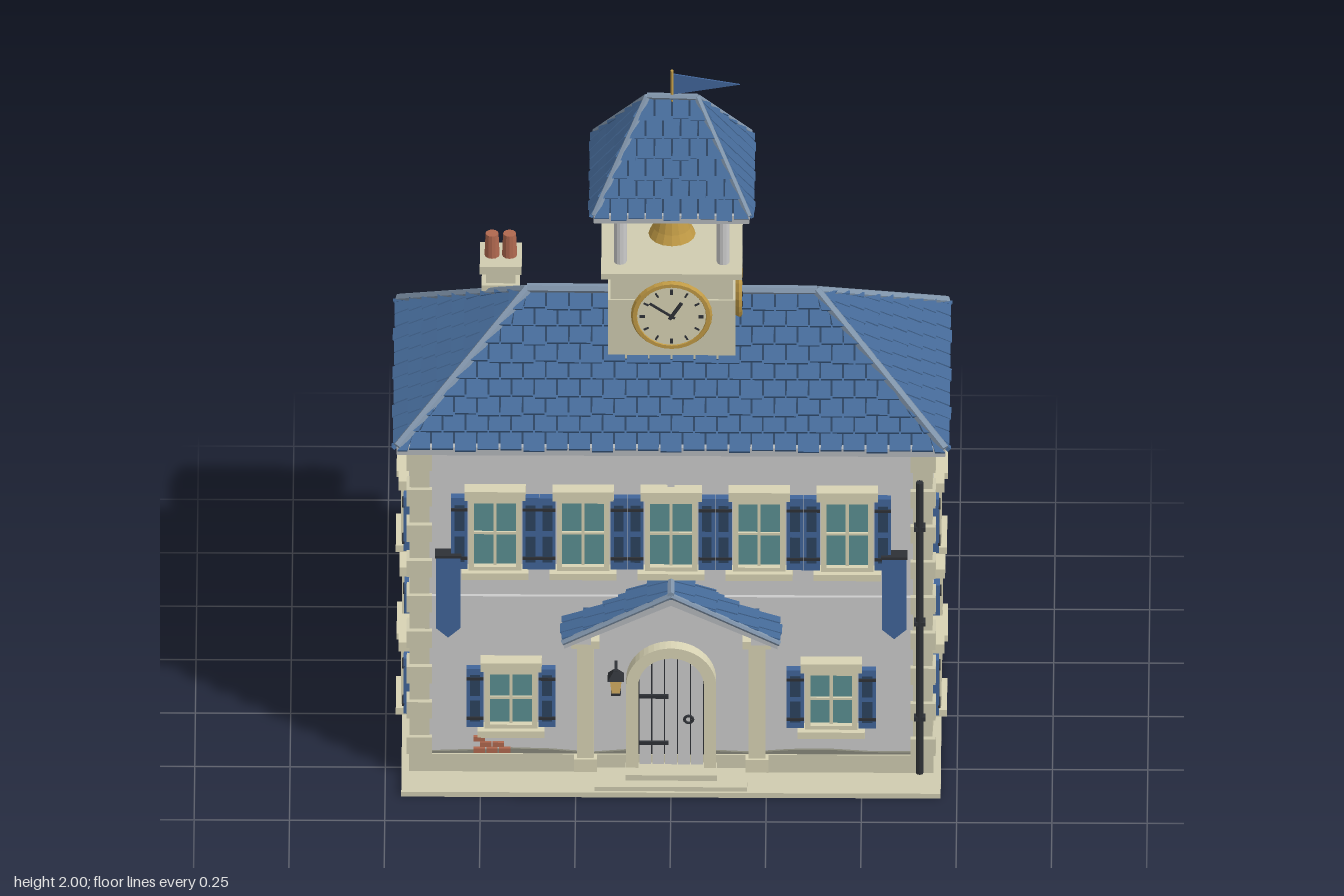
import * as THREE from 'three';
import { mergeGeometries } from 'three/addons/utils/BufferGeometryUtils.js';

const mat = (color, side = THREE.FrontSide) => new THREE.MeshStandardMaterial({ color, side, flatShading: true });
const M = {
  wall: mat(0xcccccc), stone: mat(0xd0ccb0), cream: mat(0xd8d3b4), tile: mat(0x456a98), under: mat(0x2c4360, THREE.DoubleSide),
  cap: mat(0x8094aa), fascia: mat(0xb4b8bc), glass: mat(0x5a8f92), shutter: mat(0x41659a), iron: mat(0x2e3136),
  gold: mat(0xc09a45), brick: mat(0xb0684f), moss: mat(0x88887a), glow: mat(0xe0b868), cloth: mat(0x41659a, THREE.DoubleSide),
};

function add(parent, name, geo, m, x = 0, y = 0, z = 0) {
  const mesh = new THREE.Mesh(geo, m);
  mesh.name = name;
  mesh.position.set(x, y, z);
  parent.add(mesh);
  return mesh;
}
const box = (p, name, m, w, h, d, x, y, z) => add(p, name, new THREE.BoxGeometry(w, h, d), m, x, y, z);
// Box given by its bottom and top heights
const slab = (p, name, m, w, d, y0, y1, x, z) => box(p, name, m, w, y1 - y0, d, x, (y0 + y1) / 2, z);
const cyl = (p, name, m, r0, r1, h, x, y, z, n = 12) => add(p, name, new THREE.CylinderGeometry(r1, r0, h, n), m, x, y, z);
function group(parent, name, x = 0, y = 0, z = 0, ry = 0) {
  const g = new THREE.Group();
  g.name = name;
  g.position.set(x, y, z);
  g.rotation.y = ry;
  parent.add(g);
  return g;
}
function rod(parent, name, m, a, b, r) {
  const va = new THREE.Vector3(...a), d = new THREE.Vector3(...b).sub(va);
  const mesh = cyl(parent, name, m, r, r, d.length(), 0, 0, 0, 6);
  mesh.position.copy(va).addScaledVector(d, 0.5);
  mesh.quaternion.setFromUnitVectors(new THREE.Vector3(0, 1, 0), d.normalize());
}
function shape(points) {
  return new THREE.Shape(points.map(p => new THREE.Vector2(...p)));
}
const extrude = (s, depth) => new THREE.ExtrudeGeometry(s, { depth, bevelEnabled: false, curveSegments: 12 });

// Overlapping tiles on a sloping trapezoid; u runs along the eave, v up the slope
function tiles(half, topHalf, run, rise, rows, tileW, thick) {
  const L = Math.hypot(run, rise), rowH = L / rows, parts = [];
  const limit = v => Math.max(0, half + (topHalf - half) * Math.min(1, Math.max(0, v / L)));
  for (let r = 0; r < rows; r++) {
    const v0 = r * rowH, edge = limit(v0), n = Math.ceil(edge / tileW) + 1;
    for (let i = -n; i <= n; i++) {
      const u = (i + (r % 2) * 0.5) * tileW;
      if (Math.abs(u) - tileW / 2 > edge - 0.004) continue;
      const g = new THREE.BoxGeometry(tileW - 0.005, rowH * 1.15, thick);
      const p = g.attributes.position;
      for (let k = 0; k < p.count; k++) {
        const v = v0 + p.getY(k) + rowH * 0.575, e = limit(v);
        const drop = (i * i + r) % 3 === 0 && p.getY(k) < 0 ? -0.005 : 0;
        p.setXYZ(k, Math.max(-e, Math.min(e, u + p.getX(k))), Math.min(v, L) + drop, p.getZ(k) + thick / 2 - p.getY(k) * thick / rowH);
      }
      parts.push(g);
    }
  }
  return mergeGeometries(parts).rotateX(-Math.atan2(run, rise)).translate(0, 0, run);
}

// Hipped roof with eave half sizes hx, hz and a ridge of half length rx
function hipRoof(parent, name, z, hx, hz, rx, y0, y1, rows, tileW, thick, capR) {
  const g = group(parent, name, 0, y0, z), rise = y1 - y0, side = hx - rx;
  for (const s of [0, 1]) {
    add(g, 'longSlopeTiles', tiles(hx, rx, hz, rise, rows, tileW, thick), M.tile).rotation.y = s * Math.PI;
    const end = group(g, 'endSlope', s ? -rx : rx, 0, 0, s ? -Math.PI / 2 : Math.PI / 2);
    add(end, 'endSlopeTiles', tiles(hz, 0, side, rise, rows, tileW, thick), M.tile);
  }
  const A = [-hx, 0, hz], B = [hx, 0, hz], C = [hx, 0, -hz], D = [-hx, 0, -hz], E = [-rx, rise, 0], F = [rx, rise, 0];
  const geo = new THREE.BufferGeometry();
  geo.setAttribute('position', new THREE.Float32BufferAttribute([A, B, F, A, F, E, C, D, E, C, E, F, B, C, F, D, A, E].flat(), 3));
  geo.computeVertexNormals();
  add(g, 'roofDeck', geo, M.under);
  for (const [a, b] of [[A, E], [D, E], [B, F], [C, F], [E, F]])
    rod(g, 'ridgeCap', M.cap, [a[0], a[1] + thick, a[2]], [b[0], b[1] + thick * 0.6, b[2]], capR);
  for (const s of [-1, 1]) {
    box(g, 'eaveBoard', M.fascia, hx * 2, 0.025, 0.02, 0, 0, s * (hz - 0.008));
    box(g, 'eaveBoard', M.fascia, 0.02, 0.025, hz * 2, s * (hx - 0.008), 0, 0);
  }
}

// Window with frame, lintel, sill and shutters, on a wall facing local +z
function windowUnit(wall, x, y0, y1, half, shutterW) {
  const g = group(wall, 'window', x, (y0 + y1) / 2, 0), h = y1 - y0;
  box(g, 'glass', M.glass, half * 2, h, 0.024, 0, 0, 0.004);
  for (const s of [-1, 1]) {
    box(g, 'frameSide', M.cream, 0.014, h, 0.034, s * (half + 0.004), 0, 0.014);
    const sx = s * (half + 0.014 + shutterW / 2);
    box(g, 'shutter', M.shutter, shutterW, h, 0.02, sx, 0, 0.014);
    for (const t of [-1, 1]) {
      box(g, 'shutterPanel', M.under, shutterW * 0.6, h * 0.36, 0.004, sx, t * h * 0.22, 0.023);
      box(g, 'shutterStrap', M.iron, shutterW, 0.008, 0.006, sx, t * h * 0.34, 0.025);
    }
    box(g, 'frameRail', M.cream, half * 2, 0.012, 0.034, 0, s * (h / 2 - 0.006), 0.014);
  }
  box(g, 'mullion', M.cream, 0.008, h, 0.016, 0, 0, 0.014);
  box(g, 'glazingBar', M.cream, half * 2, 0.007, 0.016, 0, 0, 0.014);
  box(g, 'lintel', M.cream, half * 2 + 0.045, 0.028, 0.042, 0, h / 2 + 0.014, 0.017);
  box(g, 'sill', M.cream, half * 2 + 0.06, 0.02, 0.05, 0, -h / 2 - 0.01, 0.02);
}

// Clock with rim, hour marks and hands, facing local +z
function clock(parent, x, y, z, ry) {
  const g = group(parent, 'clock', x, y, z, ry);
  cyl(g, 'clockFace', M.cream, 0.094, 0.094, 0.016, 0, 0, 0.006, 28).rotation.x = Math.PI / 2;
  add(g, 'clockRim', new THREE.TorusGeometry(0.097, 0.01, 6, 28), M.gold, 0, 0, 0.008);
  const bar = (name, angle, from, to, w) => {
    const m = box(g, name, M.iron, w, to - from, 0.004, Math.sin(angle) * (from + to) / 2, Math.cos(angle) * (from + to) / 2, 0.016);
    m.rotation.z = -angle;
  };
  for (let i = 0; i < 12; i++) bar('hourMark', i * Math.PI / 6, 0.07, 0.084, i % 3 ? 0.004 : 0.008);
  bar('hourHand', 0.55, -0.01, 0.05, 0.009);
  bar('minuteHand', -0.95, -0.01, 0.07, 0.006);
}

export function createModel() {
  const root = new THREE.Group();
  root.name = 'clockTowerHall';
  const zc = -0.0325, hw = 0.678, hd = 0.3125;

  // Ground slab, plinth and main block
  slab(root, 'groundSlab', M.stone, 1.415, 0.765, 0, 0.015, 0, 0.005);
  slab(root, 'plinth', M.stone, 1.375, 0.645, 0.015, 0.07, 0, zc);
  slab(root, 'mainWalls', M.wall, hw * 2, hd * 2, 0.07, 1.035, 0, zc);

  // Corner stones, alternating long and short
  for (const sx of [-1, 1]) for (const sz of [-1, 1]) for (let i = 0; i < 17; i++) {
    const w = i % 2 ? 0.052 : 0.066, out = i % 2 ? 0.008 : 0.016;
    box(root, 'cornerStone', M.stone, w, 0.052, w, sx * (hw + out - w / 2), 0.098 + i * 0.056, zc + sz * (hd + out * 0.9 - w / 2));
  }

  // Four walls: timbers, worn base, bricks and windows
  const front = group(root, 'frontWall', 0, 0, zc + hd, 0);
  const back = group(root, 'backWall', 0, 0, zc - hd, Math.PI);
  const left = group(root, 'leftWall', hw, 0, zc, Math.PI / 2);
  const right = group(root, 'rightWall', -hw, 0, zc, -Math.PI / 2);
  for (const [wall, half] of [[front, hw], [back, hw], [left, hd], [right, hd]]) {
    const long = half === hw, e = half - (long ? 0.108 : 0.06);
    box(wall, 'beltBoard', M.wall, half * 2 - 0.08, 0.035, 0.016, 0, 0.552, 0.002);
    box(wall, 'topBoard', M.wall, half * 2 - 0.08, 0.024, 0.016, 0, 1.008, 0.002);
    for (const x of [-e, 0, e]) box(wall, 'wallPost', M.wall, 0.018, wall === front ? 0.1 : 0.41, 0.014, x, wall === front ? 0.95 : 0.79, 0.003);
    const pts = [[-half + 0.05, 0.065]];
    for (let i = 0; i <= 12; i++) pts.push([(half - 0.05) * (i / 6 - 1), 0.072 + 0.013 * Math.abs(Math.sin(i * 2.3 + half * 5))]);
    pts.push([half - 0.05, 0.065]);
    add(wall, 'wornBase', extrude(shape(pts), 0.006), M.moss);
    const bx = wall === front ? -0.47 : wall === back ? 0.42 * -1 : 0.22;
    for (const [i, j] of [[0, 0], [1, 0], [2, 0], [0.5, 1], [1.5, 1], [0, 2]])
      box(wall, 'exposedBrick', M.brick, 0.03, 0.014, 0.012, bx + (i - 1) * 0.033, 0.08 + j * 0.018, 0.003);
    if (wall !== front) for (const s of [-1, 1]) {
      windowUnit(wall, s * (long ? 0.39 : 0.175), 0.68, 0.85, 0.045, 0.042);
      windowUnit(wall, s * (long ? 0.39 : 0.175), 0.165, 0.34, 0.045, 0.042);
    }
  }
  for (let i = -2; i <= 2; i++) windowUnit(front, i * 0.231, 0.665, 0.89, 0.058, 0.043);
  for (const s of [-1, 1]) windowUnit(front, s * 0.42, 0.165, 0.348, 0.058, 0.045);

  // Arched door
  const arch = (r, y0, y1) => {
    const s = new THREE.Shape().moveTo(-r, y0).lineTo(r, y0).lineTo(r, y1);
    return s.absarc(0, y1, r, 0, Math.PI, false);
  };
  const surround = arch(0.118, 0.04, 0.305);
  surround.holes.push(arch(0.086, 0.041, 0.305));
  add(front, 'doorSurround', extrude(surround, 0.035), M.cream);
  add(front, 'doorBacking', extrude(arch(0.087, 0.04, 0.305), 0.008), M.iron);
  for (let i = -2; i <= 2; i++) {
    const top = 0.3 + Math.sqrt(0.086 ** 2 - (Math.abs(i) * 0.034 - (i ? 0.004 : 0)) ** 2);
    slab(front, 'doorPlank', M.wall, 0.031, 0.018, 0.045, top, i * 0.034, 0.009);
  }
  for (const y of [0.115, 0.262]) box(front, 'doorHinge', M.iron, 0.075, 0.01, 0.008, -0.045, y, 0.021);
  add(front, 'doorKnob', new THREE.TorusGeometry(0.011, 0.004, 6, 12), M.iron, 0.046, 0.19, 0.022);
  slab(front, 'doorStep', M.stone, 0.24, 0.07, 0.015, 0.045, 0, 0.035);
  slab(front, 'doorStepLower', M.stone, 0.4, 0.1, 0.012, 0.028, 0, 0.05);

  // Porch: pilasters, open gable and tiled roof
  const porch = group(front, 'porch');
  for (const s of [-1, 1]) {
    slab(porch, 'porchColumn', M.cream, 0.044, 0.03, 0.05, 0.46, s * 0.225, 0.012);
    slab(porch, 'columnBase', M.cream, 0.06, 0.04, 0.03, 0.07, s * 0.225, 0.014);
    slab(porch, 'columnCapital', M.cream, 0.075, 0.09, 0.455, 0.478, s * 0.225, 0.04);
    slab(porch, 'porchBeam', M.wall, 0.05, 0.1, 0.478, 0.5, s * 0.235, 0.05);
    const rake = add(porch, 'porchRakeBoard', extrude(shape([[0, 0.628], [s * 0.28, 0.485], [s * 0.28, 0.468], [0, 0.605]]), 0.104), M.fascia);
    rake.material = mat(0xb4b8bc, THREE.DoubleSide);
    const slope = group(porch, 'porchSlope', 0, 0.487, 0.052, s * Math.PI / 2);
    add(slope, 'porchTiles', tiles(0.052, 0.052, 0.28, 0.143, 5, 0.045, 0.01), M.tile);
    rod(porch, 'porchVerge', M.cap, [s * 0.285, 0.488, 0.105], [0, 0.637, 0.105], 0.008);
  }
  rod(porch, 'porchRidge', M.cap, [0, 0.642, 0], [0, 0.642, 0.11], 0.01);

  // Lantern, drainpipe and banners
  const lamp = group(front, 'lantern', -0.145, 0.325, 0.045);
  box(lamp, 'lanternBracket', M.iron, 0.008, 0.008, 0.05, 0, 0.032, -0.02);
  cyl(lamp, 'lanternRoof', M.iron, 0.03, 0.008, 0.022, 0, 0.024, 0, 4).rotation.y = Math.PI / 4;
  cyl(lamp, 'lanternGlass', M.glow, 0.015, 0.022, 0.045, 0, -0.01, 0, 4).rotation.y = Math.PI / 4;
  box(lamp, 'lanternFoot', M.iron, 0.026, 0.006, 0.026, 0, -0.034, 0);
  cyl(front, 'drainpipe', M.iron, 0.01, 0.01, 0.92, 0.652, 0.485, 0.024, 8);
  for (const y of [0.2, 0.5, 0.8]) box(front, 'pipeClip', M.iron, 0.03, 0.012, 0.03, 0.652, y, 0.018);
  for (const s of [-1, 1]) {
    const b = shape([[-0.032, 0.71], [-0.032, 0.485], [0, 0.455], [0.032, 0.485], [0.032, 0.71]]);
    add(front, 'banner', extrude(b, 0.005), M.cloth, s * 0.585, 0, 0.03);
    box(front, 'bannerRail', M.iron, 0.07, 0.008, 0.035, s * 0.585, 0.71, 0.018);
  }

  // Main roof and chimney
  slab(root, 'eaveSoffit', M.fascia, 1.43, 0.685, 1.025, 1.036, 0, -0.0425);
  hipRoof(root, 'mainRoof', -0.0425, 0.718, 0.348, 0.38, 1.04, 1.31, 9, 0.06, 0.012, 0.013);
  const chimney = group(root, 'chimney', -0.45, 0, -0.193);
  slab(chimney, 'chimneyStack', M.stone, 0.078, 0.082, 1.1, 1.3, 0, 0);
  slab(chimney, 'chimneyBand', M.stone, 0.1, 0.104, 1.245, 1.262, 0, 0);
  slab(chimney, 'chimneyCap', M.stone, 0.11, 0.115, 1.3, 1.325, 0, 0);
  for (const s of [-1, 1]) cyl(chimney, 'chimneyPot', M.brick, 0.02, 0.017, 0.07, s * 0.023, 1.358, 0);

  // Clock tower with open belfry
  const tower = group(root, 'clockTower', 0, 0, -0.06);
  slab(tower, 'towerBase', M.stone, 0.334, 0.334, 1.2, 1.385, 0, 0);
  slab(tower, 'towerShaft', M.stone, 0.322, 0.322, 1.385, 1.465, 0, 0);
  slab(tower, 'towerDeck', M.stone, 0.37, 0.37, 1.462, 1.48, 0, 0);
  clock(tower, 0, 1.345, 0.168, 0);
  clock(tower, 0.168, 1.345, 0, Math.PI / 2);
  for (const sx of [-1, 1]) for (const sz of [-1, 1]) cyl(tower, 'belfryPost', M.wall, 0.017, 0.017, 0.2, sx * 0.135, 1.575, sz * 0.125);
  const bell = [[0.0, 0.1], [0.028, 0.1], [0.034, 0.085], [0.05, 0.03], [0.062, 0.005], [0.054, 0.003], [0, 0.04]];
  bell.reverse();
  add(tower, 'bell', new THREE.LatheGeometry(bell.map(p => new THREE.Vector2(...p)), 16), M.gold, 0, 1.48, 0);
  hipRoof(tower, 'towerRoof', 0, 0.203, 0.197, 0.066, 1.662, 1.91, 6, 0.046, 0.01, 0.009);

  // Flagpole and pennant
  cyl(tower, 'flagpole', M.gold, 0.005, 0.005, 0.1, 0, 1.95, 0, 6);
  add(tower, 'pennant', extrude(shape([[0, 1.99], [0, 1.925], [0.178, 1.957]]), 0.004), M.cloth, 0, 0, -0.002);
  return root;
}
